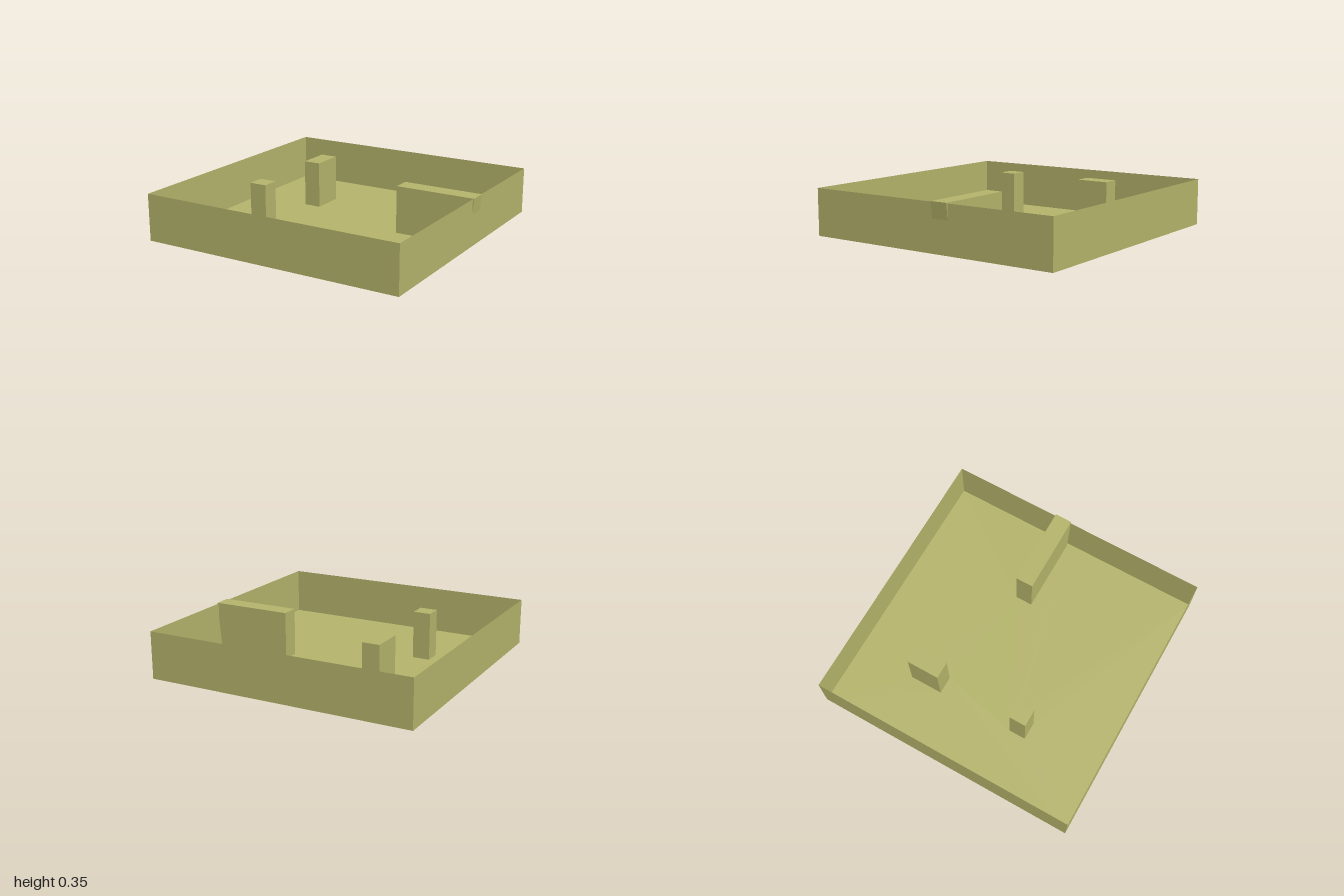
import * as THREE from 'three';

const olive = new THREE.MeshStandardMaterial({ color: 0xb5b46b, side: THREE.DoubleSide });
olive.name = 'olive';

const WALL_TOP = 0.345, BLOCK_TOP = 0.35;
const TRAY = { x0: -0.995, x1: 0.99, z0: -0.995, z1: 0.995 };
const BLOCKS = [
  { name: 'rearPillar', x0: -0.54, x1: -0.41, z0: -0.54, z1: -0.295 },
  { name: 'frontPillar', x0: -0.54, x1: -0.41, z0: 0.29, z1: 0.415 },
  { name: 'sideBar', x0: 0.4, x1: 0.97, z0: -0.185, z1: -0.055, topX1: 1 },
];

// Box shell with some sides left out (sides: +x, -x, +y, -y, +z, -z = 0..5)
function shell(r, height, openSides) {
  const g = new THREE.BoxGeometry(r.x1 - r.x0, height, r.z1 - r.z0);
  g.translate((r.x0 + r.x1) / 2, height / 2, (r.z0 + r.z1) / 2);
  const kept = Array.from(g.index.array).filter((_, i) => !openSides.includes(Math.floor(i / 6)));
  g.setIndex(kept);
  g.clearGroups();
  return g;
}

export function createModel() {
  const model = new THREE.Group();
  model.name = 'tray';
  const add = (name, geometry) => {
    const mesh = new THREE.Mesh(geometry, olive);
    mesh.name = name;
    model.add(mesh);
  };

  // Thin outer walls
  add('walls', shell(TRAY, WALL_TOP, [2, 3]));

  // Floor sheet, open beneath each hollow block
  const corners = (r) => [[r.x0, r.z0], [r.x1, r.z0], [r.x1, r.z1], [r.x0, r.z1]]
    .map(([x, z]) => new THREE.Vector2(x, -z));
  const floor = new THREE.Shape(corners(TRAY));
  for (const b of BLOCKS) floor.holes.push(new THREE.Path(corners(b)));
  add('floor', new THREE.ShapeGeometry(floor).rotateX(-Math.PI / 2));

  // Hollow blocks; the bar's end leans out slightly through the wall
  for (const b of BLOCKS) {
    const g = shell(b, BLOCK_TOP, [3]);
    if (b.topX1) {
      const p = g.attributes.position;
      for (let i = 0; i < p.count; i++) {
        if (p.getX(i) > b.x1 - 0.01 && p.getY(i) > 0.1) p.setX(i, b.topX1);
      }
      g.computeVertexNormals();
    }
    add(b.name, g);
  }
  return model;
}
